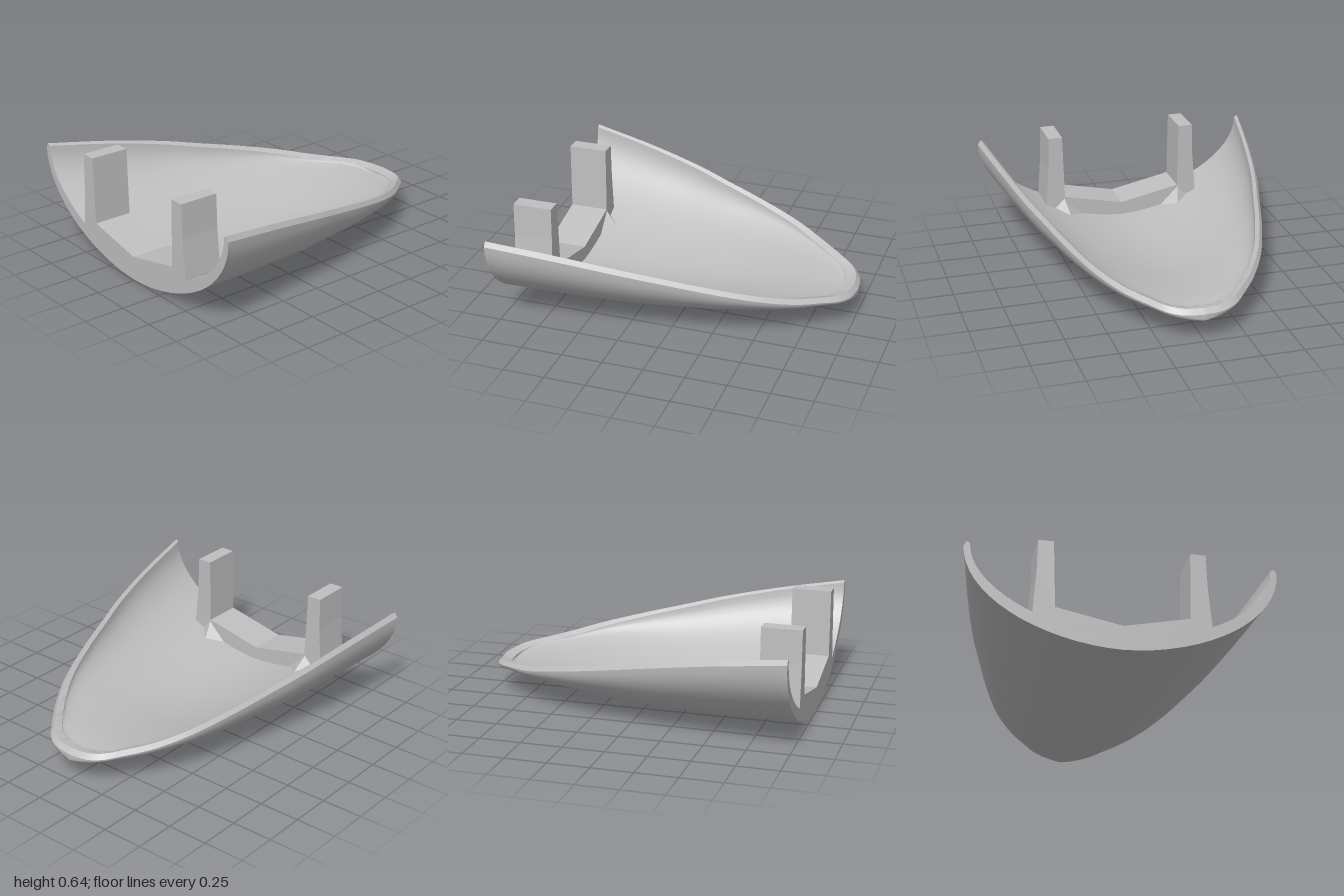
import * as THREE from 'three';
import { toCreasedNormals } from 'three/addons/utils/BufferGeometryUtils.js';
import { ConvexGeometry } from 'three/addons/geometries/ConvexGeometry.js';

const V = (x, y, z) => new THREE.Vector3(x, y, z);

// Stations from the open front to the rounded tip: z, half width, rim height, keel height
const STATIONS = [
  [1, 0.893, 0.59, 0.004], [0.6, 0.825, 0.53, 0], [0.25, 0.752, 0.465, 0.003],
  [0, 0.68, 0.41, 0.016], [-0.25, 0.605, 0.355, 0.042], [-0.5, 0.51, 0.298, 0.08],
  [-0.7, 0.395, 0.25, 0.107], [-0.85, 0.28, 0.225, 0.122], [-0.94, 0.2, 0.21, 0.125],
  [-0.985, 0.11, 0.2, 0.126], [-1, 0, 0.198, 0.13],
];
const rimLine = new THREE.CatmullRomCurve3(STATIONS.map(([z, w, r]) => V(w, r, z)), false, 'catmullrom');
const keelLine = new THREE.CatmullRomCurve3(STATIONS.map(([z, , , k]) => V(0, k, z)), false, 'catmullrom');

// One closed cross-section: outer skin, rim crest, inner skin, rim crest
const N = 32;
function section(t) {
  const rim = rimLine.getPoint(t), keel = keelLine.getPoint(t).y;
  const w = Math.max(0, rim.x), r = rim.y, z = Math.max(-1, rim.z);
  const skin = (width, low, high, p, zz) => Array.from({ length: N + 1 }, (_, i) => {
    const s = Math.sin((i / N - 0.5) * Math.PI);
    return V(width * s, low + (high - low) * (1 - Math.sqrt(Math.max(0, 1 - Math.abs(s) ** p))), zz);
  });
  const shrink = (f) => 1 - (1 - z) * f;
  const floor = keel + THREE.MathUtils.lerp(0.068, 0.04, t);
  const outer = skin(w, keel, r - 0.03, 1.85, z);
  const inner = skin(w * 0.96, floor, r - 0.012, 1.7, shrink(0.955));
  const crest = (side) => V(side * w * 0.98, r, shrink(0.987));
  return [...outer, crest(1), ...inner.reverse(), crest(-1)];
}

function hullGeometry() {
  const M = 60, L = 2 * N + 4, pos = [], idx = [];
  for (let j = 0; j <= M; j++) section(j / M).forEach((p) => pos.push(p.x, p.y, p.z));
  for (let j = 0; j < M; j++) {
    for (let i = 0; i < L; i++) {
      const a = j * L + i, b = j * L + (i + 1) % L;
      idx.push(a, a + L, b, b, a + L, b + L);
    }
  }
  // Flat front edge between the two skins
  const inn = (i) => 2 * N + 2 - i;
  for (let i = 0; i < N; i++) idx.push(i, i + 1, inn(i + 1), i, inn(i + 1), inn(i));
  idx.push(N, N + 1, inn(N), 0, inn(0), L - 1);
  const g = new THREE.BufferGeometry();
  g.setAttribute('position', new THREE.Float32BufferAttribute(pos, 3));
  g.setIndex(idx);
  return toCreasedNormals(g, 0.55);
}

// Cross frame with two upright posts
function frameGeometry() {
  const half = [[0, 0.15], [0.38, 0.23], [0.39, 0.64], [0.48, 0.64], [0.485, 0.44], [0.505, 0.19],
    [0.48, 0.15], [0.3, 0.075], [0.15, 0.045], [0, 0.035]];
  const left = half.slice(1, -1).reverse().map(([x, y]) => [-x, y]);
  const shape = new THREE.Shape([...half, ...left].map(([x, y]) => new THREE.Vector2(x, y)));
  return new THREE.ExtrudeGeometry(shape, { depth: 0.24, bevelEnabled: false }).translate(0, 0, 0.76);
}

export function createModel() {
  const group = new THREE.Group();
  const grey = new THREE.MeshStandardMaterial({ color: 0xbfbfbf });
  grey.name = 'light grey';
  const add = (name, geometry) => {
    const mesh = new THREE.Mesh(geometry, grey);
    mesh.name = name;
    group.add(mesh);
  };

  add('shell', hullGeometry());
  add('postFrame', frameGeometry());

  // Small pyramid braces behind the posts
  for (const [s, side] of [[1, 'left'], [-1, 'right']]) {
    add(side + 'Brace', new ConvexGeometry([
      V(s * 0.25, 0.09, 0.765), V(s * 0.46, 0.15, 0.765), V(s * 0.385, 0.225, 0.765), V(s * 0.36, 0.125, 0.68),
    ]));
  }
  return group;
}
